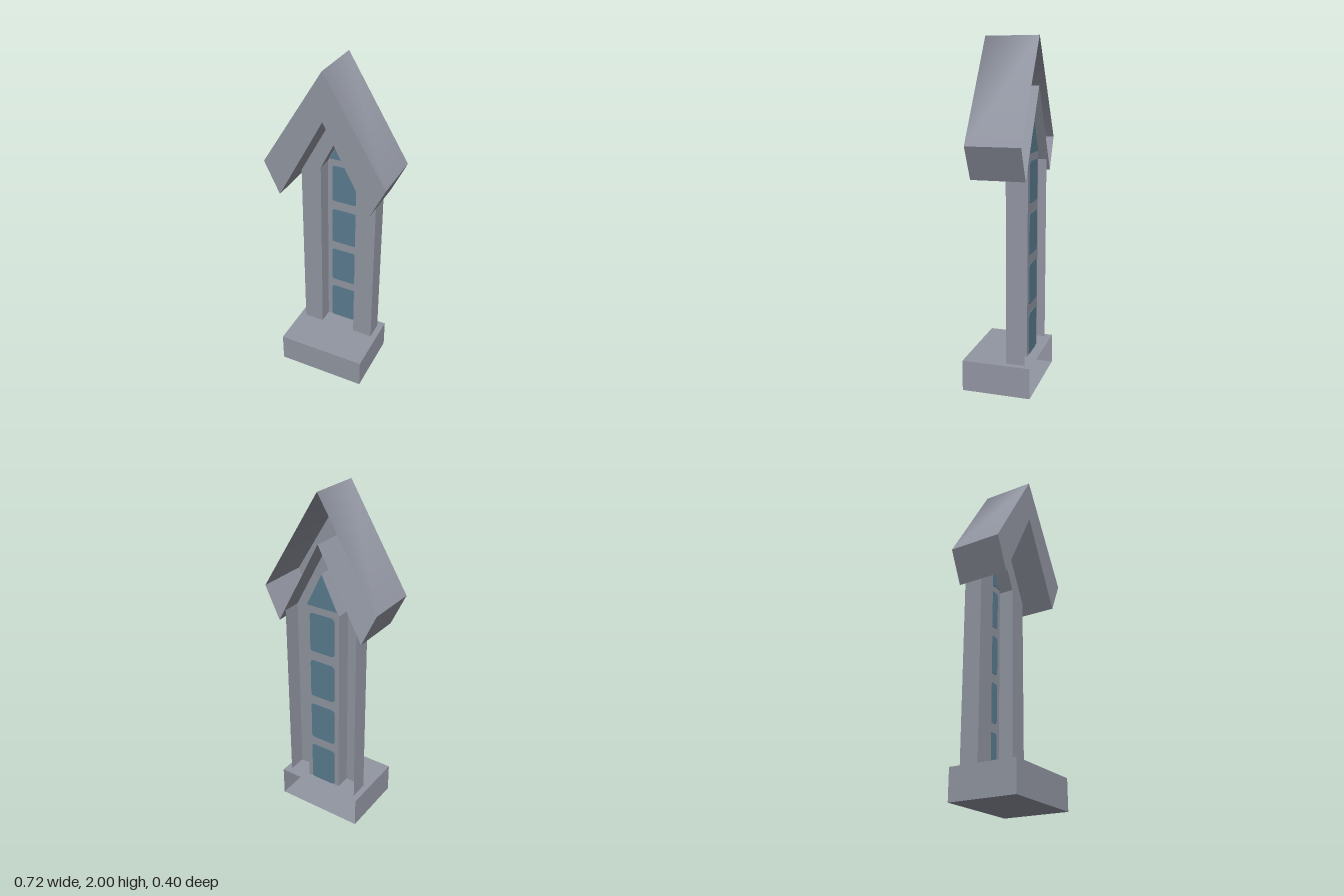
import * as THREE from 'three';

const stone = new THREE.MeshStandardMaterial({ color: 0x9296a2, side: THREE.DoubleSide });
stone.name = 'grey stone';
const glass = new THREE.MeshStandardMaterial({ color: 0x5b7d90, side: THREE.DoubleSide });
glass.name = 'blue glass';

const mirrorPath = (half) => [...half, ...half.slice().reverse().filter(([x]) => x !== 0).map(([x, y]) => [-x, y])];
const toShape = (pts) => new THREE.Shape(pts.map(([x, y]) => new THREE.Vector2(x, y)));

function add(group, name, geometry, material = stone) {
  const mesh = new THREE.Mesh(geometry, material);
  mesh.name = name;
  group.add(mesh);
  return mesh;
}

// Flat sheet facing +z, with an optional opening
function sheet(pts, z, hole) {
  const shape = toShape(pts);
  if (hole) shape.holes.push(toShape(hole));
  return new THREE.ShapeGeometry(shape).translate(0, 0, z);
}

// Wall swept along z from a path, smooth or with hard corners
function wall(pts, z0, z1, smooth = false) {
  const pos = [], index = [];
  pts.forEach(([x, y]) => pos.push(x, y, z0, x, y, z1));
  for (let i = 0; i < pts.length - 1; i++) {
    const a = i * 2;
    index.push(a, a + 2, a + 1, a + 1, a + 2, a + 3);
  }
  let g = new THREE.BufferGeometry();
  g.setAttribute('position', new THREE.Float32BufferAttribute(pos, 3));
  g.setIndex(index);
  if (!smooth) g = g.toNonIndexed();
  g.computeVertexNormals();
  return g;
}

// Pane with rounded corners
function paneShape(w, y0, y1, r) {
  const s = new THREE.Shape();
  s.moveTo(-w + r, y0);
  s.lineTo(w - r, y0);
  s.quadraticCurveTo(w, y0, w, y0 + r);
  s.lineTo(w, y1 - r);
  s.quadraticCurveTo(w, y1, w - r, y1);
  s.lineTo(-w + r, y1);
  s.quadraticCurveTo(-w, y1, -w, y1 - r);
  s.lineTo(-w, y0 + r);
  s.quadraticCurveTo(-w, y0, -w + r, y0);
  return s;
}

export function createModel() {
  const model = new THREE.Group();
  model.name = 'gabledWindow';

  // Hollow sill, open at the back
  const sill = new THREE.Group();
  sill.name = 'sill';
  const sillPath = [[0.27, 0], [0.27, 0.18], [-0.27, 0.18], [-0.27, 0]];
  add(sill, 'sillFront', sheet(sillPath, 0.2));
  add(sill, 'sillShell', wall([...sillPath, sillPath[0]], -0.2, 0.2));
  model.add(sill);

  // Hollow stone frame around a pointed opening
  const frame = new THREE.Group();
  frame.name = 'frame';
  const outer = mirrorPath([[0.233, 0.18], [0.233, 1.295], [0, 1.725]]);
  const opening = mirrorPath([[0.11, 0.181], [0.11, 1.34], [0, 1.56]]);
  add(frame, 'frameFront', sheet(outer, -0.05, opening));
  add(frame, 'frameOuterWall', wall(outer, -0.16, -0.05));
  add(frame, 'frameReveal', wall(opening, -0.14, -0.05));
  model.add(frame);

  // Tracery panel with glass plates showing on both sides
  const win = new THREE.Group();
  win.name = 'window';
  add(win, 'tracery', sheet(opening, -0.14));
  const plate = { depth: 0.008, bevelEnabled: false, curveSegments: 4 };
  const addPane = (name, shape) =>
    add(win, name, new THREE.ExtrudeGeometry(shape, plate).translate(0, 0, -0.144), glass);
  [[0.182, 0.43], [0.487, 0.725], [0.783, 1.02], [1.08, 1.317]].forEach(([y0, y1], i) =>
    addPane('pane' + (i + 1), paneShape(0.08, y0, y1, 0.02)));
  addPane('pointedPane', toShape([[-0.097, 1.36], [0.097, 1.36], [0, 1.553]]));
  model.add(win);

  // Hollow gable hood, open at the back
  const hood = new THREE.Group();
  hood.name = 'hood';
  const top = [[0.36, 1.42], [0, 2], [-0.36, 1.42]];
  const under = [[-0.27, 1.23], [0, 1.73], [0.27, 1.23]];
  add(hood, 'hoodFront', sheet([...top, ...under], 0.14));
  add(hood, 'hoodTop', wall(top, -0.172, 0.14, true));
  add(hood, 'hoodUnderside', wall(under, -0.172, 0.14));
  add(hood, 'hoodLeftEnd', wall([under[2], top[0]], -0.172, 0.14));
  add(hood, 'hoodRightEnd', wall([top[2], under[0]], -0.172, 0.14));
  model.add(hood);

  return model;
}
